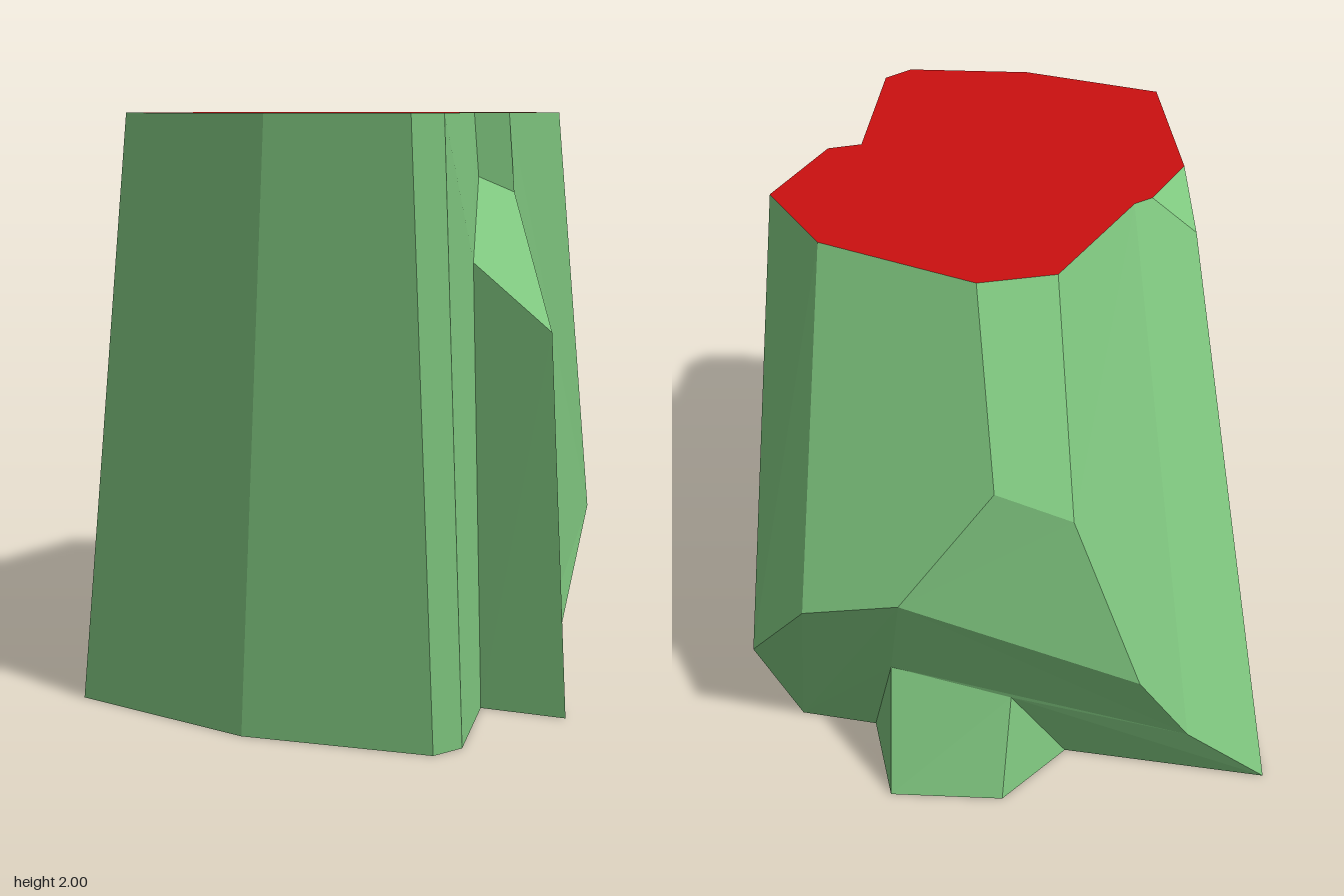
import * as THREE from 'three';

// Top outline at y = 2, counter-clockwise from above: [x, z]
const rim = [
  [-0.31, 0.81], [0.17, 0.90], [0.59, 0.85], [0.66, 0.76], [0.60, 0.21],
  [0.70, 0.16], [0.785, -0.19], [0.55, -0.46], [0.04, -0.61], [-0.18, -0.52],
  [-0.34, -0.05], [-0.39, 0.0], [-0.465, 0.24],
];

// Named corners below the top outline
const corners = {
  // foot of the front and side walls
  a: [-0.675, 0, 0.52], b: [-0.03, 0, 0.64], c: [0.60, 0, 0.57], d: [0.67, 0, 0.48],
  e: [0.64, 0, 0.13], f: [0.93, 0, 0.12], g: [0.72, 0, -0.29], h: [0.77, 0, -0.47],
  // side ridge
  notchLow: [0.66, 1.55, 0.415], notchHigh: [0.61, 1.80, 0.18],
  ridgeIn: [0.71, 1.75, 0.11], ridgeOut: [0.90, 1.34, 0.37],
  // lower edge of the back, over the slanted undercut
  i: [0.83, 0.53, -0.70], j: [0.58, 0.87, -0.85], k: [0.245, 1.0, -0.905],
  l: [-0.05, 1.43, -0.84], m: [-0.28, 1.32, -0.79], n: [-0.50, 0.65, -0.75],
  o: [-0.66, 0.28, -0.59], p: [-0.935, 0, -0.475], q: [-0.53, 1.86, 0.06],
  // small root below the undercut
  r1: [0.49, 0, -0.475], r2: [0.35, 0, -0.795], r3: [-0.04, 0, -0.745], r4: [-0.22, 0, -0.48],
  r2Top: [0.342, 0.54, -0.71], r3Top: [-0.058, 0.415, -0.656],
};
rim.forEach(([x, z], i) => { corners['t' + i] = [x, 2, z]; });

// Flat polygons, split into triangles in their own plane
function polygons(lists) {
  const positions = [];
  for (const list of lists) {
    const pts = list.split(' ').map((key) => new THREE.Vector3(...corners[key]));
    const normal = new THREE.Vector3();
    pts.forEach((p, i) => normal.add(p.clone().cross(pts[(i + 1) % pts.length])));
    normal.normalize();
    const u = pts[1].clone().sub(pts[0]).normalize();
    const v = normal.clone().cross(u);
    const flat = pts.map((p) => new THREE.Vector2(p.dot(u), p.dot(v)));
    for (const [i, j, k] of THREE.ShapeUtils.triangulateShape(flat, [])) {
      const turn = flat[j].clone().sub(flat[i]).cross(flat[k].clone().sub(flat[i]));
      for (const n of turn > 0 ? [i, j, k] : [i, k, j]) positions.push(...pts[n].toArray());
    }
  }
  const geometry = new THREE.BufferGeometry();
  geometry.setAttribute('position', new THREE.Float32BufferAttribute(positions, 3));
  geometry.computeVertexNormals();
  return geometry;
}

export function createModel() {
  const group = new THREE.Group();
  group.name = 'stump';
  const bark = new THREE.MeshStandardMaterial({ color: 0x80c880, flatShading: true, side: THREE.DoubleSide });
  const cut = new THREE.MeshStandardMaterial({ color: 0xcc1010, flatShading: true, side: THREE.DoubleSide });
  const add = (name, material, lists) => {
    const mesh = new THREE.Mesh(polygons(lists), material);
    mesh.name = name;
    group.add(mesh);
  };

  add('cutTop', cut, [rim.map((_, i) => 't' + i).join(' ')]);
  add('frontWalls', bark, ['a b t1 t0', 'b c t2 t1', 'c d t3 t2']);
  add('sideNotch', bark, ['d e notchLow notchHigh t4 t3', 'notchHigh ridgeIn t5 t4']);
  add('sideRidge', bark, [
    'notchLow ridgeOut ridgeIn notchHigh', 'e f ridgeOut notchLow', 'f g ridgeIn ridgeOut',
  ]);
  add('backWalls', bark, [
    'g h i t6 t5 ridgeIn', 'i j t7 t6', 'j k l t8 t7', 'l m t9 t8',
    'k n m l', 'm n o t10 t9', 'o p q t12 t11 t10',
  ]);
  add('rightWall', bark, ['p a t0 t12 q']);
  add('undercut', bark, ['h r1 r2Top r3Top r4 p o n k j i']);
  add('root', bark, ['r1 r2 r2Top', 'r2 r3 r3Top r2Top', 'r3 r4 r3Top']);
  return group;
}
